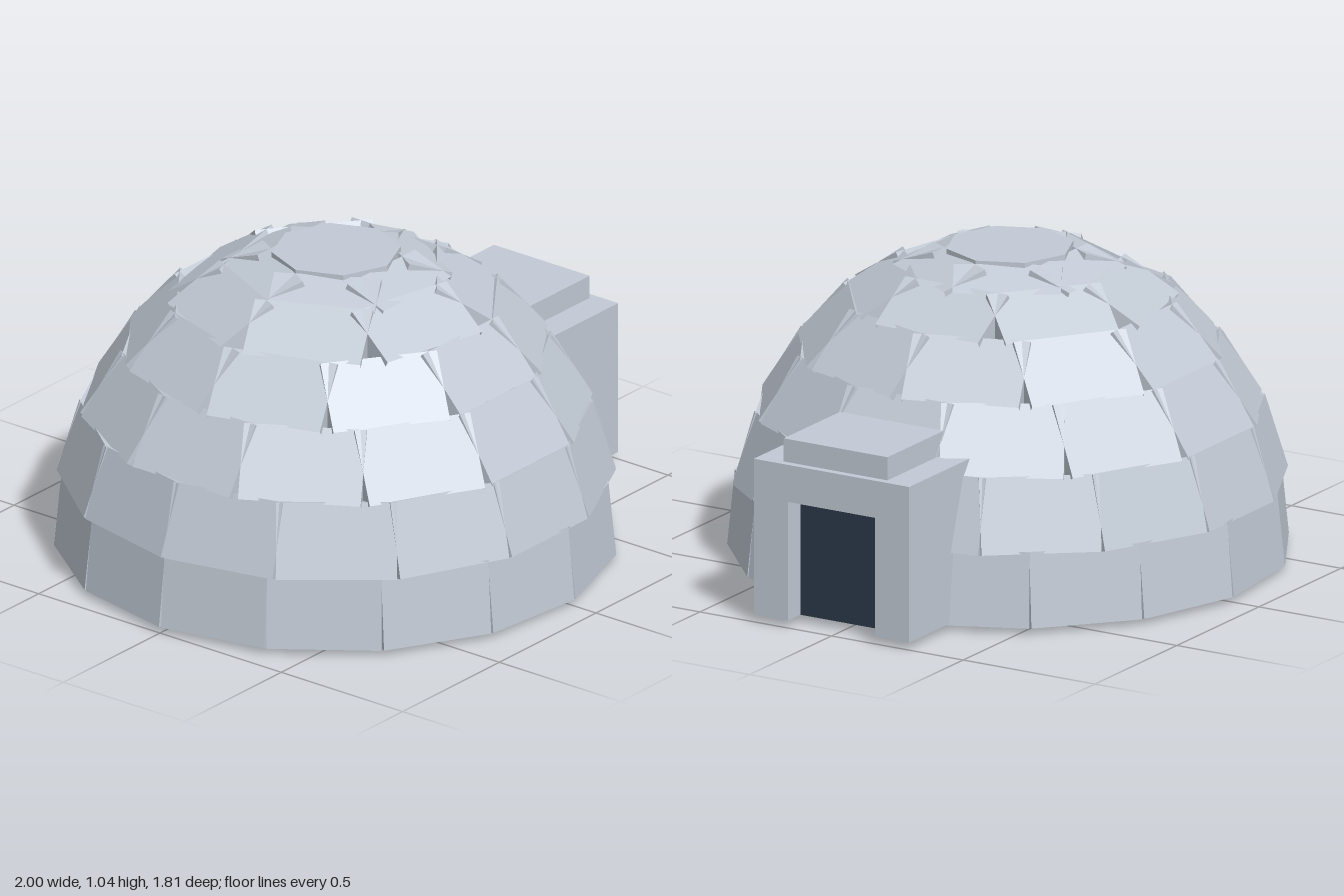
import * as THREE from 'three';

const snow = new THREE.MeshStandardMaterial({ color: 0xc2cad5, side: THREE.DoubleSide });
snow.name = 'snow';
const shade = new THREE.MeshStandardMaterial({ color: 0x2b3849 });
shade.name = 'doorway shade';

const CENTRE_X = -0.088;
const THICK = 0.2;

// Each course: block count, half-step stagger, outer face from (r0, y0) up to (r1, y1), block width
const courses = [
  { n: 15, shift: 0.0, r0: 0.893, y0: 0.020, r1: 0.868, y1: 0.270, width: 0.371 },
  { n: 14, shift: 0.5, r0: 0.880, y0: 0.262, r1: 0.805, y1: 0.502, width: 0.390 },
  { n: 12, shift: 0.0, r0: 0.805, y0: 0.495, r1: 0.670, y1: 0.706, width: 0.400 },
  { n: 10, shift: 0.5, r0: 0.672, y0: 0.700, r1: 0.512, y1: 0.876, width: 0.390 },
  { n: 7, shift: 0.0, r0: 0.510, y0: 0.868, r1: 0.325, y1: 0.983, width: 0.390 },
  { n: 6, shift: 0.5, r0: 0.335, y0: 0.972, r1: 0.185, y1: 1.026, width: 0.350 },
];

function box(name, x0, x1, y0, y1, z0, z1, material) {
  const mesh = new THREE.Mesh(new THREE.BoxGeometry(x1 - x0, y1 - y0, z1 - z0), material);
  mesh.position.set((x0 + x1) / 2, (y0 + y1) / 2, (z0 + z1) / 2);
  mesh.name = name;
  return mesh;
}

// A ring of tilted hollow blocks, open underneath and at the back
function makeCourse({ n, shift, r0, y0, r1, y1, width }, index) {
  const ring = new THREE.Group();
  ring.name = `blockCourse${index + 1}`;
  const height = Math.hypot(r1 - r0, y1 - y0);
  const geometry = new THREE.BoxGeometry(THICK, height, width);
  const faces = Array.from(geometry.index.array);
  geometry.setIndex([...faces.slice(0, 6), ...faces.slice(12, 18), ...faces.slice(24)]);
  geometry.clearGroups();
  geometry.translate(-THICK / 2, height / 2, 0);
  geometry.rotateZ(Math.atan2(r0 - r1, y1 - y0));
  geometry.translate(r0, y0, 0);
  for (let i = 0; i < n; i++) {
    const block = new THREE.Mesh(geometry, snow);
    block.name = 'snowBlock';
    block.rotation.y = ((i + shift) * 2 * Math.PI) / n;
    ring.add(block);
  }
  return ring;
}

// Flat-shaded upright prism with a corner on the x axis
function prism(name, radius, y0, y1, sides) {
  const geometry = new THREE.CylinderGeometry(radius, radius, y1 - y0, sides).toNonIndexed();
  geometry.computeVertexNormals();
  const mesh = new THREE.Mesh(geometry, snow);
  mesh.position.y = (y0 + y1) / 2;
  mesh.name = name;
  return mesh;
}

// Inner room: twelve walls and a flat ceiling, open at the floor
function makeRoom() {
  const room = new THREE.Group();
  room.name = 'innerRoom';
  const radius = 0.62, height = 0.53, sides = 12;
  const wallGeometry = new THREE.CylinderGeometry(radius, radius, height, sides, 1, true).toNonIndexed();
  wallGeometry.computeVertexNormals();
  const walls = new THREE.Mesh(wallGeometry, snow);
  walls.name = 'roomWalls';
  walls.position.y = height / 2;
  const ceiling = new THREE.Mesh(new THREE.CircleGeometry(radius, sides), snow);
  ceiling.name = 'roomCeiling';
  ceiling.rotation.x = Math.PI / 2;
  ceiling.position.y = height;
  room.add(walls, ceiling);
  return room;
}

export function createModel() {
  const model = new THREE.Group();
  model.name = 'igloo';

  // Dome of stacked courses with an eight-sided cap
  const dome = new THREE.Group();
  dome.name = 'dome';
  dome.position.x = CENTRE_X;
  courses.forEach((course, i) => dome.add(makeCourse(course, i)));
  dome.add(prism('cap', 0.21, 0.99, 1.037, 8), makeRoom());
  model.add(dome);

  // Entrance on the +x side: two walls, lintel, roof slab and recessed dark passage
  const entrance = new THREE.Group();
  entrance.name = 'entrance';
  const base = 0.025, head = 0.425, half = 0.165;
  entrance.add(
    box('leftWall', 0.56, 1, base, 0.55, half, 0.295, snow),
    box('rightWall', 0.56, 1, base, 0.55, -0.295, -half, snow),
    box('lintel', 0.56, 1, head, 0.55, -half, half, snow),
    box('passage', 0.56, 0.924, base, head, -half, half, shade),
    box('roofSlab', 0.45, 0.975, 0.55, 0.628, -0.197, 0.197, snow),
  );
  model.add(entrance);
  return model;
}
